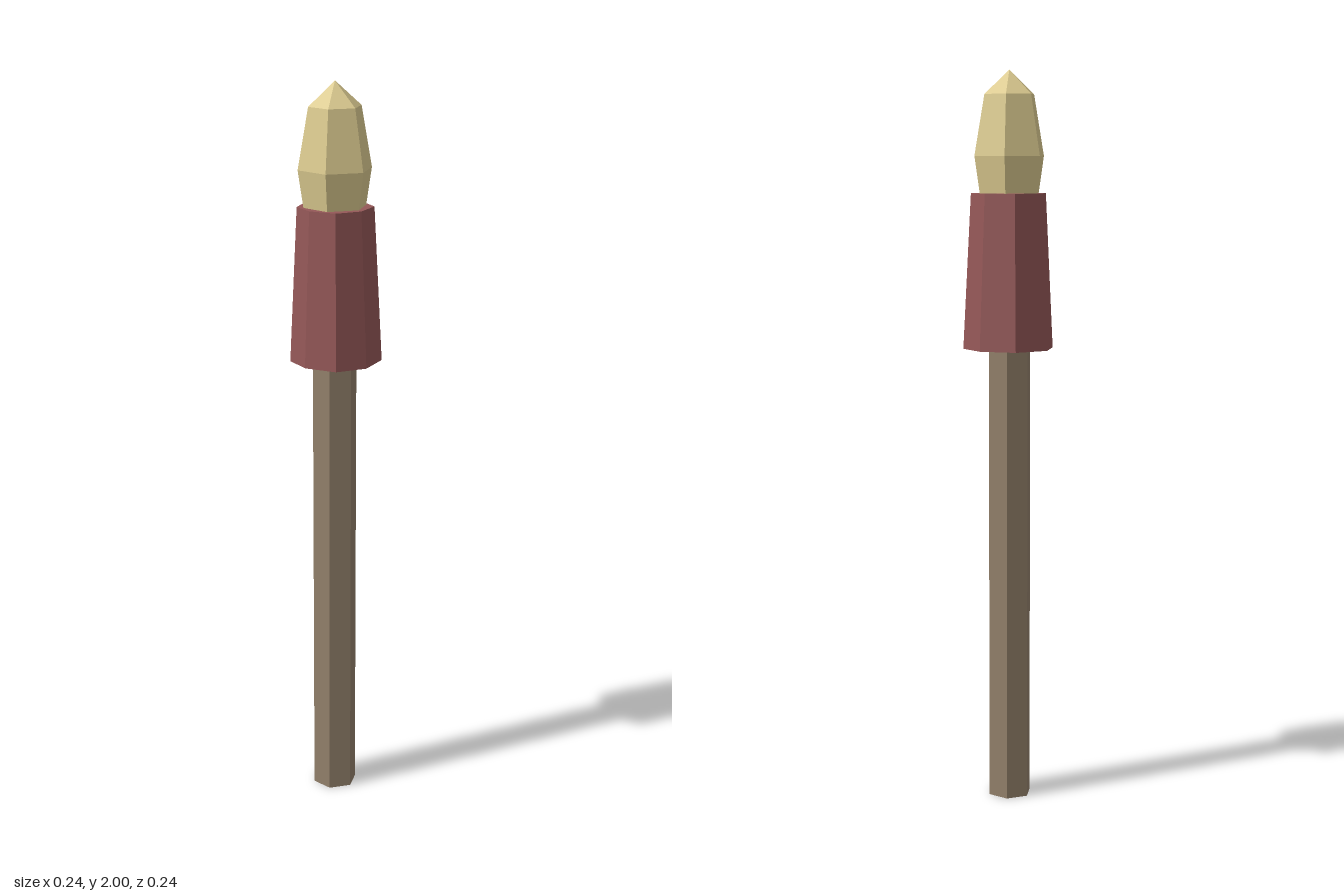
import * as THREE from 'three';

const mat = (name, color) => {
  const m = new THREE.MeshStandardMaterial({ color, flatShading: true });
  m.name = name;
  return m;
};

export function createModel() {
  const wood = mat('brown wood', 0x92806a);
  const cloth = mat('dull red cloth', 0x955858);
  const fire = mat('pale yellow', 0xdccb90);
  const group = new THREE.Group();
  group.name = 'torch';

  const add = (name, geometry, material, x, y) => {
    const mesh = new THREE.Mesh(geometry, material);
    mesh.name = name;
    mesh.position.set(x, y, 0);
    group.add(mesh);
  };

  // Six-sided handle, running a little way up into the wrap
  add('handle', new THREE.CylinderGeometry(0.061, 0.061, 1.3, 6), wood, -0.006, 0.65);

  // Tapered eight-sided wrap with a slightly uneven, hand-bound outline (x, z)
  const outline = [
    [-0.01, 0.12], [0.083, 0.09], [0.117, 0.007], [0.083, -0.088],
    [-0.01, -0.123], [-0.095, -0.08], [-0.12, 0], [-0.092, 0.087],
  ];
  const wrap = new THREE.CylinderGeometry(1, 1, 0.418, 8);
  const p = wrap.attributes.position;
  for (let i = 0; i < p.count; i++) {
    const x = p.getX(i), y = p.getY(i), z = p.getZ(i);
    const top = y > 0;
    const k = top ? 0.83 : 1;
    const corner = Math.round(Math.atan2(x, z) / (Math.PI / 4) + 8) % 8;
    const [ox, oz] = Math.hypot(x, z) < 0.5 ? [0, 0] : outline[corner];
    p.setXYZ(i, ox * k - (top ? 0.004 : 0), y, oz * k + (top ? 0.002 : 0));
  }
  wrap.computeVertexNormals();
  add('wrap', wrap, cloth, 0, 1.465);

  // Faceted flame, closed underneath
  const profile = [[0, 1.668], [0.085, 1.668], [0.101, 1.773], [0.072, 1.935], [0, 2]];
  add('flame', new THREE.LatheGeometry(profile.map(([r, y]) => new THREE.Vector2(r, y)), 6), fire, -0.005, 0);

  return group;
}
